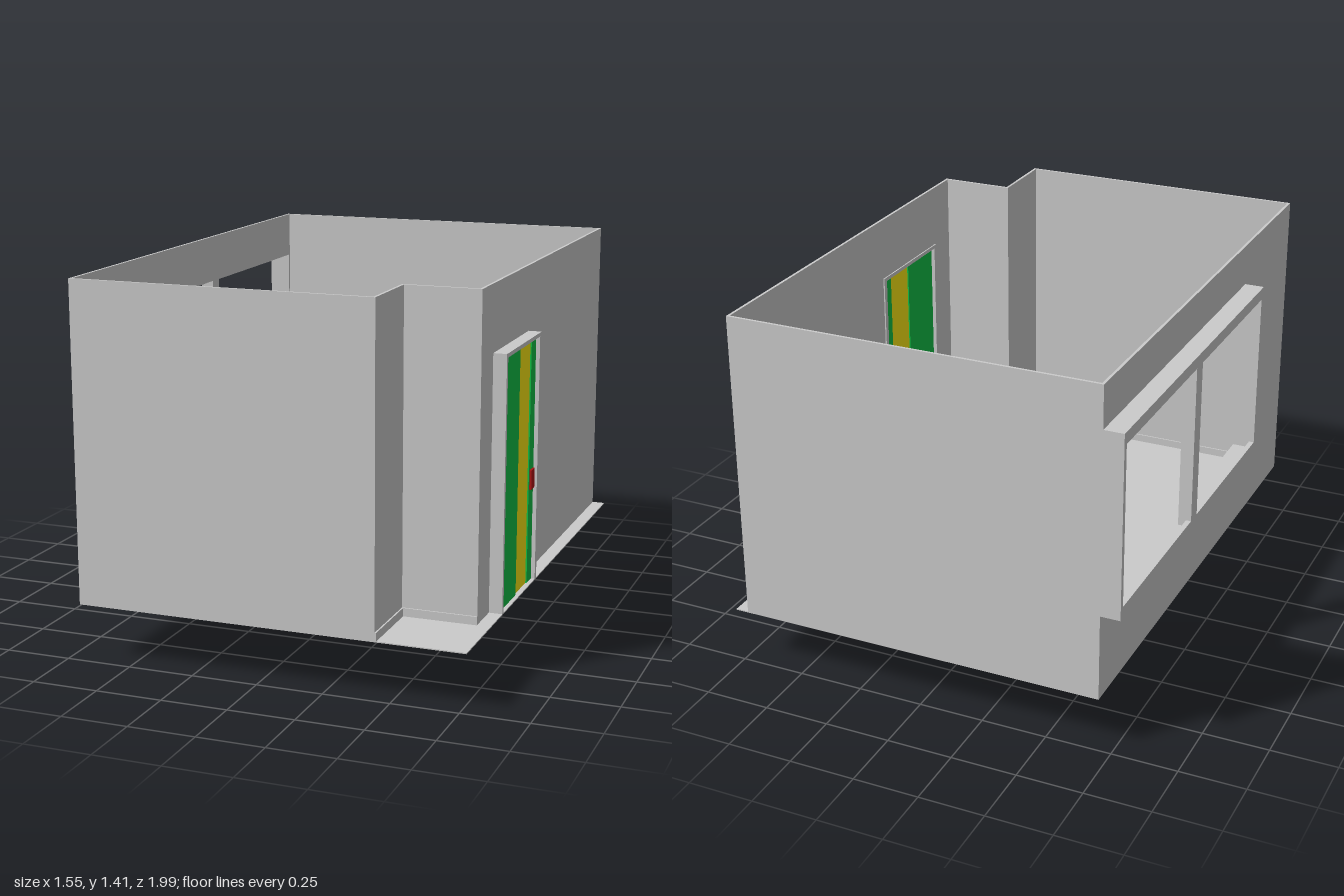
import * as THREE from 'three';

const COLORS = { grey: 0xcccccc, green: 0x10c346, blue: 0x0f2dcd, yellow: 0xffeb14, red: 0xaf1414 };
const mats = {};
for (const k in COLORS) mats[k] = new THREE.MeshStandardMaterial({ color: COLORS[k], side: THREE.DoubleSide });

const F = 0.215; // floor level
const TOP = 1.41; // wall top

function add(parent, name, geometry, color) {
  const m = new THREE.Mesh(geometry, mats[color]);
  m.name = name;
  parent.add(m);
  return m;
}

// Box given by its limits on each axis
function box(parent, name, color, x0, x1, y0, y1, z0, z1) {
  const m = add(parent, name, new THREE.BoxGeometry(x1 - x0, y1 - y0, z1 - z0), color);
  m.position.set((x0 + x1) / 2, (y0 + y1) / 2, (z0 + z1) / 2);
  return m;
}

function group(parent, name) {
  const g = new THREE.Group();
  g.name = name;
  parent.add(g);
  return g;
}

// Wall in the z-y plane from x0 to x1, with one rectangular opening
function sideWall(parent, name, x0, x1, z0, z1, hole) {
  const rect = (P, a, b, c, d) => {
    const p = new P();
    p.moveTo(-a, c); p.lineTo(-b, c); p.lineTo(-b, d); p.lineTo(-a, d); p.closePath();
    return p;
  };
  const s = rect(THREE.Shape, z0, z1, F, TOP);
  s.holes.push(rect(THREE.Path, ...hole));
  const g = new THREE.ExtrudeGeometry(s, { depth: x1 - x0, bevelEnabled: false });
  g.rotateY(Math.PI / 2);
  g.translate(x0, 0, 0);
  add(parent, name, g, 'grey');
}

function buildRoom(root) {
  const g = group(root, 'room');
  const H = 0.25;
  box(g, 'floor', 'grey', -0.695, 0.77, F, F + 0.004, -1, 0.99);
  // Walls, with the corner set back at the front
  sideWall(g, 'windowWall', -0.7, -0.69, -1, 0.99, [-0.98, 0.42, 0.57, 1.23]);
  sideWall(g, 'doorWall', 0.71, 0.72, -1, 0.705, [0.13, 0.55, F + 0.004, 1.15]);
  box(g, 'backWall', 'grey', -0.7, 0.72, F, TOP, -1, -0.99);
  box(g, 'frontWall', 'grey', -0.7, 0.44, F, TOP, 0.98, 0.99);
  box(g, 'recessSideWall', 'grey', 0.43, 0.44, F, TOP, 0.695, 0.99);
  box(g, 'recessBackWall', 'grey', 0.43, 0.72, F, TOP, 0.695, 0.705);
  // Skirting boards
  const t = 0.006;
  const skirt = (...b) => box(g, 'skirting', 'grey', b[0], b[1], F, H, b[2], b[3]);
  skirt(-0.69, 0.71, -0.99, -0.99 + t);
  skirt(-0.69, -0.69 + t, -0.99, 0.98);
  skirt(-0.69, 0.43, 0.98 - t, 0.98);
  skirt(0.71 - t, 0.71, -0.99, 0.105);
  skirt(0.71 - t, 0.71, 0.56, 0.695);
  skirt(0.44, 0.44 + t, 0.705, 0.99);
  skirt(0.44, 0.72, 0.705, 0.705 + t);
}

function buildWindow(root) {
  const g = group(root, 'bayWindow');
  const [x0, x1, y0, y1, z0, z1, t] = [-0.775, -0.69, 0.55, 1.25, -1, 0.44, 0.02];
  box(g, 'windowSill', 'grey', x0, x1, y0, y0 + t, z0, z1);
  box(g, 'windowHead', 'grey', x0, x1, y1 - t, y1, z0, z1);
  box(g, 'windowEndBack', 'grey', x0, x1, y0, y1, z0, z0 + t);
  box(g, 'windowEndFront', 'grey', x0, x1, y0, y1, z1 - t, z1);
  box(g, 'windowMullion', 'grey', x0, x0 + 0.05, y0 + t, y1 - t, -0.31, -0.25);
  // Rim around the glass opening
  box(g, 'windowRimLow', 'grey', x0, x0 + 0.02, y0, y0 + 0.045, z0, z1);
  box(g, 'windowRimHigh', 'grey', x0, x0 + 0.02, y1 - 0.045, y1, z0, z1);
}

function buildDoor(root) {
  const g = group(root, 'door');
  for (const [a, b] of [[0.11, 0.13], [0.55, 0.565]])
    box(g, 'doorPost', 'grey', 0.705, 0.77, F, 1.165, a, b);
  box(g, 'doorHead', 'grey', 0.705, 0.77, 1.15, 1.165, 0.11, 0.565);
  box(g, 'doorPanelWide', 'green', 0.72, 0.755, F, 1.15, 0.34, 0.55);
  box(g, 'doorStripe', 'yellow', 0.725, 0.75, F, 1.15, 0.19, 0.34);
  box(g, 'doorPanelNarrow', 'green', 0.72, 0.755, F, 1.15, 0.13, 0.19);
  box(g, 'doorHandle', 'red', 0.712, 0.763, 0.58, 0.655, 0.14, 0.182);
}

function buildShelf(root) {
  const g = group(root, 'shelfUnit');
  const [x0, x1, z0, z1, t] = [-0.34, 0.36, -0.05, 0.125, 0.014];
  for (const y of [0.212, 0.355, 0.498])
    box(g, 'shelfBoard', 'green', x0, x1, y, y + t, z0, z1);
  for (let i = 0; i < 5; i++) {
    const x = x0 + (i * (x1 - x0 - t)) / 4;
    box(g, 'shelfDivider', 'green', x, x + t, 0.212, 0.51, z0, z1);
  }
  // Curved screen on the shelf
  const s = group(root, 'screen');
  const arc = new THREE.Shape();
  arc.moveTo(-0.075, -0.13);
  arc.quadraticCurveTo(-0.04, -0.035, -0.075, 0.06);
  arc.lineTo(-0.04, 0.06);
  arc.quadraticCurveTo(-0.01, -0.035, -0.04, -0.13);
  arc.closePath();
  const geo = new THREE.ExtrudeGeometry(arc, { depth: 0.12, bevelEnabled: false, curveSegments: 10 });
  geo.rotateX(-Math.PI / 2);
  geo.translate(0, 0.54, 0);
  add(s, 'screenPanel', geo, 'red');
  box(s, 'screenFoot', 'red', -0.085, -0.035, 0.51, 0.545, -0.01, 0.08);
}

function buildDesks(root) {
  const g = group(root, 'desk');
  box(g, 'deskTop', 'blue', -0.255, 0.275, 0.48, 0.497, -0.24, -0.05);
  box(g, 'deskEdge', 'green', -0.27, -0.255, 0.48, 0.497, -0.24, -0.05);
  for (const x of [-0.262, 0.03, 0.263])
    box(g, 'deskSide', 'blue', x, x + 0.01, 0.213, 0.48, -0.235, -0.05);
  for (let i = 0; i < 3; i++)
    box(g, 'deskDrawer', 'blue', 0.045, 0.258, 0.235 + i * 0.08, 0.305 + i * 0.08, -0.238, -0.06);
  // Side cabinet on the other side of the shelf
  box(g, 'sideCabinet', 'blue', 0.09, 0.275, 0.22, 0.49, 0.125, 0.325);
  // Stool under the desk
  const s = group(root, 'stool');
  const disc = (name, r, y0, y1, c) =>
    add(s, name, new THREE.CylinderGeometry(r, r, y1 - y0, 20), c).position.set(-0.13, (y0 + y1) / 2, -0.1);
  disc('stoolFoot', 0.022, 0.211, 0.23, 'green');
  disc('stoolStem', 0.008, 0.23, 0.34, 'green');
  disc('stoolSeat', 0.05, 0.34, 0.36, 'red');
}

function buildHangingPanel(root) {
  const g = group(root, 'hangingPanel');
  const [z0, z1] = [0.049, 0.056];
  box(g, 'panelBoard', 'blue', -0.28, 0.305, 0.01, 0.2, z0, z1);
  // Green frame, proud of both faces
  const bar = (x0, x1, y0, y1) => box(g, 'panelFrame', 'green', x0, x1, y0, y1, z0 - 0.003, z1 + 0.003);
  bar(-0.17, -0.1, 0.015, 0.2);
  bar(0.12, 0.195, 0.015, 0.2);
  bar(-0.1, 0.12, 0.07, 0.103);
  bar(-0.1, 0.12, 0.015, 0.056);
  bar(-0.25, 0.27, 0.198, 0.214);
  // Rails with yellow end caps
  for (const [y, h] of [[0.01, 0.006], [0.165, 0.006]]) {
    box(g, 'panelRail', 'red', -0.28, 0.305, y - h, y + h, z0 - 0.005, z1 + 0.005);
    for (const x of [-0.285, 0.305])
      box(g, 'railCap', 'yellow', x - 0.006, x + 0.006, y - h, y + h, z0 - 0.006, z1 + 0.006);
  }
  for (const x of [-0.27, 0.29])
    box(g, 'panelHanger', 'yellow', x - 0.02, x + 0.02, 0.198, 0.214, z0 - 0.006, z1 + 0.012);
  // Curved pull
  const pull = new THREE.TorusGeometry(0.065, 0.003, 6, 20, Math.PI);
  pull.rotateZ(Math.PI);
  pull.scale(1, 0.75, 1);
  add(g, 'panelPull', pull, 'green').position.set(0.01, 0.2, z1 + 0.003);
}

export function createModel() {
  const root = new THREE.Group();
  root.name = 'furnishedRoom';
  buildRoom(root);
  buildWindow(root);
  buildDoor(root);
  buildShelf(root);
  buildDesks(root);
  buildHangingPanel(root);
  return root;
}
